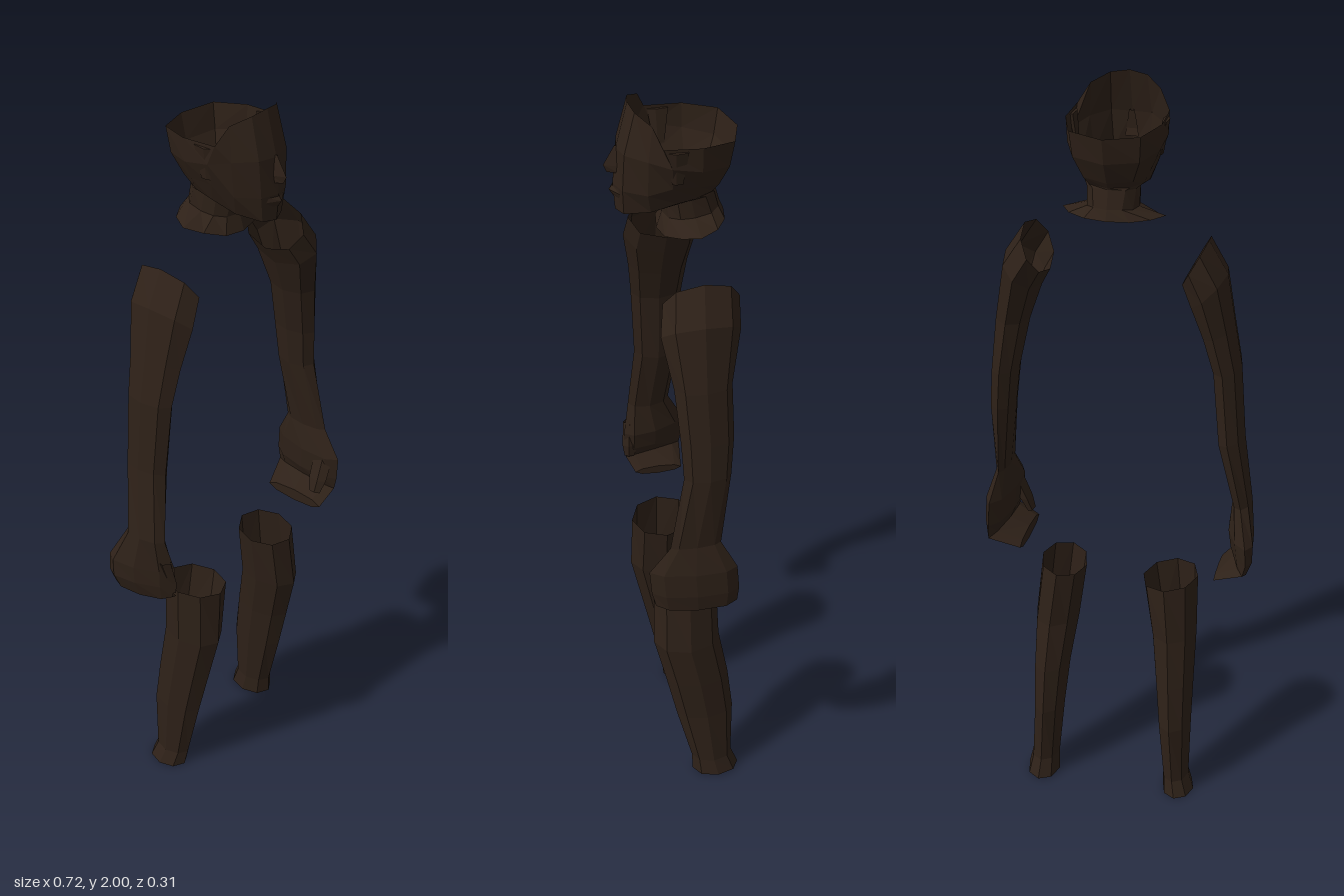
import * as THREE from 'three';

const skin = new THREE.MeshStandardMaterial({
  color: 0x2e2118, flatShading: true, side: THREE.DoubleSide,
});

// Skin a list of equal-sized point rings; optionally close the last one.
function loft(name, rings, capEnd = false) {
  const n = rings[0].length, pos = rings.flat(2), idx = [];
  for (let r = 0; r < rings.length - 1; r++) {
    for (let i = 0; i < n; i++) {
      const j = (i + 1) % n, a = r * n, b = a + n;
      idx.push(a + i, b + i, b + j, a + i, b + j, a + j);
    }
  }
  if (capEnd) {
    const base = (rings.length - 1) * n;
    for (let i = 1; i < n - 1; i++) idx.push(base, base + i + 1, base + i);
  }
  const geo = new THREE.BufferGeometry();
  geo.setAttribute('position', new THREE.Float32BufferAttribute(pos, 3));
  geo.setIndex(idx);
  geo.computeVertexNormals();
  const mesh = new THREE.Mesh(geo, skin);
  mesh.name = name;
  return mesh;
}

// Limb ring: low-x point, high-x point, back z, front z, and x shift per unit of z.
function limbRing([x0, y0, x1, y1, zb, zf, shear = 0], sides = 8) {
  return Array.from({ length: sides }, (_, i) => {
    const a = (i / sides) * Math.PI * 2, s = Math.sin(a);
    const dz = Math.cos(a) * (zf - zb) / 2;
    return [
      (x0 + x1) / 2 + s * (x1 - x0) / 2 + shear * dz,
      (y0 + y1) / 2 + s * (y1 - y0) / 2,
      (zb + zf) / 2 + dz,
    ];
  });
}
const limb = (name, specs, cap, sides) => loft(name, specs.map((s) => limbRing(s, sides)), cap);

// Head ring: half outline from front to back, mirrored about the head's centre line.
const HEAD_X = 0.013;
function headRing(half) {
  const mirrored = half.slice(1, -1).reverse().map(([x, y, z]) => [-x, y, z]);
  return [...half, ...mirrored].map(([x, y, z]) => [x + HEAD_X, y, z]);
}

export function createModel() {
  const model = new THREE.Group();
  model.name = 'figure';

  // Head shell, open at the crown, running down into neck and collar
  const head = new THREE.Group();
  head.name = 'head';
  head.add(loft('headAndNeck', [
    [[0, 2.0, 0.1], [0.045, 1.994, 0.092], [0.085, 1.975, 0.06], [0.112, 1.93, 0.04], [0.115, 1.926, -0.05], [0.085, 1.92, -0.13], [0, 1.915, -0.156]],
    [[0, 1.89, 0.128], [0.05, 1.893, 0.118], [0.09, 1.89, 0.07], [0.115, 1.88, 0.02], [0.112, 1.865, -0.05], [0.08, 1.855, -0.12], [0, 1.85, -0.142]],
    [[0, 1.80, 0.137], [0.045, 1.80, 0.122], [0.08, 1.80, 0.07], [0.095, 1.82, 0.015], [0.09, 1.815, -0.05], [0.06, 1.80, -0.1], [0, 1.795, -0.115]],
    [[0, 1.732, 0.132], [0.035, 1.735, 0.118], [0.063, 1.748, 0.06], [0.075, 1.77, 0], [0.073, 1.78, -0.05], [0.05, 1.78, -0.088], [0, 1.78, -0.105]],
    [[0, 1.745, 0.025], [0.03, 1.747, 0.018], [0.055, 1.76, -0.005], [0.062, 1.768, -0.035], [0.06, 1.772, -0.07], [0.04, 1.774, -0.094], [0, 1.775, -0.103]],
    [[0, 1.712, 0.022], [0.035, 1.712, 0.012], [0.056, 1.716, -0.012], [0.062, 1.72, -0.045], [0.056, 1.725, -0.085], [0.035, 1.73, -0.106], [0, 1.73, -0.115]],
    [[0, 1.67, 0.035], [0.055, 1.675, 0.026], [0.1, 1.69, -0.005], [0.127, 1.702, -0.045], [0.1, 1.705, -0.09], [0.055, 1.705, -0.117], [0, 1.705, -0.126]],
  ].map(headRing)));

  // Nose wedge and a thin lip ridge
  const tri = (y, w, z, back) => [[HEAD_X, y, z], [HEAD_X + w, y, back], [HEAD_X - w, y, back]];
  head.add(loft('nose', [
    tri(1.895, 0.007, 0.131, 0.12), tri(1.848, 0.014, 0.158, 0.125), tri(1.83, 0.017, 0.15, 0.12),
  ], true));
  head.add(loft('lips', [
    tri(1.795, 0.025, 0.138, 0.128), tri(1.785, 0.032, 0.146, 0.126), tri(1.77, 0.025, 0.137, 0.124),
  ], true));

  // Ears: flat slabs against the sides of the skull
  for (const side of [1, -1]) {
    const ear = new THREE.Mesh(new THREE.CylinderGeometry(0.027, 0.014, 0.085, 5), skin);
    ear.name = side > 0 ? 'leftEar' : 'rightEar';
    ear.scale.x = 0.3;
    ear.position.set(HEAD_X + side * 0.107, 1.878, 0.005);
    ear.rotation.z = -side * 0.12;
    head.add(ear);
  }
  model.add(head);

  // Left arm with curled mitten hand
  const leftArm = new THREE.Group();
  leftArm.name = 'leftArm';
  leftArm.add(limb('leftArmAndHand', [
    [0.18, 1.527, 0.242, 1.643, -0.12, 0.062],
    [0.205, 1.48, 0.297, 1.56, -0.115, 0.075],
    [0.238, 1.385, 0.325, 1.395, -0.09, 0.05],
    [0.267, 1.25, 0.338, 1.25, -0.092, 0.038],
    [0.28, 1.14, 0.345, 1.15, -0.085, 0.032],
    [0.31, 0.94, 0.341, 0.945, -0.06, 0.068],
    [0.3, 0.865, 0.36, 0.87, -0.1, 0.12, -0.1],
    [0.305, 0.80, 0.362, 0.80, -0.105, 0.115, -0.1],
    [0.318, 0.77, 0.355, 0.75, -0.1, 0.105, -0.1],
    [0.268, 0.745, 0.268, 0.71, -0.075, 0.1],
  ], true));
  leftArm.add(limb('leftThumb', [
    [0.305, 0.87, 0.34, 0.87, 0.04, 0.1],
    [0.278, 0.80, 0.31, 0.80, 0.045, 0.1],
    [0.27, 0.765, 0.29, 0.76, 0.055, 0.09],
  ], true, 5));
  model.add(leftArm);

  // Right arm, its hand turned the other way
  const rightArm = new THREE.Group();
  rightArm.name = 'rightArm';
  rightArm.add(limb('rightArmAndHand', [
    [-0.215, 1.643, -0.157, 1.535, -0.12, 0.065],
    [-0.263, 1.56, -0.175, 1.48, -0.12, 0.072],
    [-0.285, 1.43, -0.205, 1.4, -0.1, 0.055],
    [-0.305, 1.32, -0.232, 1.31, -0.09, 0.045],
    [-0.32, 1.13, -0.25, 1.11, -0.085, 0.035],
    [-0.342, 0.935, -0.29, 0.925, -0.065, 0.05, 0.1],
    [-0.352, 0.84, -0.285, 0.84, -0.11, 0.065, 0.3],
    [-0.35, 0.79, -0.292, 0.79, -0.11, 0.065, 0.3],
    [-0.335, 0.742, -0.302, 0.765, -0.1, 0.06, 0.25],
    [-0.262, 0.71, -0.262, 0.735, -0.09, 0.04],
  ], true));
  rightArm.add(limb('rightThumb', [
    [-0.325, 0.87, -0.29, 0.87, 0.02, 0.065],
    [-0.305, 0.80, -0.28, 0.80, 0.025, 0.07],
    [-0.3, 0.765, -0.282, 0.765, 0.035, 0.065],
  ], true, 5));
  model.add(rightArm);

  // Legs: open tubes from thigh to flared ankle
  model.add(limb('leftLeg', [
    [0.103, 0.657, 0.225, 0.677, -0.09, 0.077],
    [0.125, 0.5, 0.246, 0.495, -0.095, 0.082],
    [0.145, 0.36, 0.244, 0.36, -0.12, 0.05],
    [0.157, 0.23, 0.24, 0.23, -0.135, 0.022],
    [0.17, 0.06, 0.247, 0.06, -0.132, -0.02],
    [0.167, 0.005, 0.257, 0.01, -0.152, -0.022],
  ]));
  model.add(limb('rightLeg', [
    [-0.204, 0.673, -0.055, 0.655, -0.09, 0.077],
    [-0.204, 0.5, -0.08, 0.5, -0.095, 0.08],
    [-0.204, 0.36, -0.098, 0.36, -0.115, 0.05],
    [-0.204, 0.23, -0.113, 0.23, -0.13, 0.022],
    [-0.203, 0.05, -0.131, 0.05, -0.12, -0.015],
    [-0.22, 0.005, -0.133, 0.005, -0.135, -0.02],
  ]));

  return model;
}
